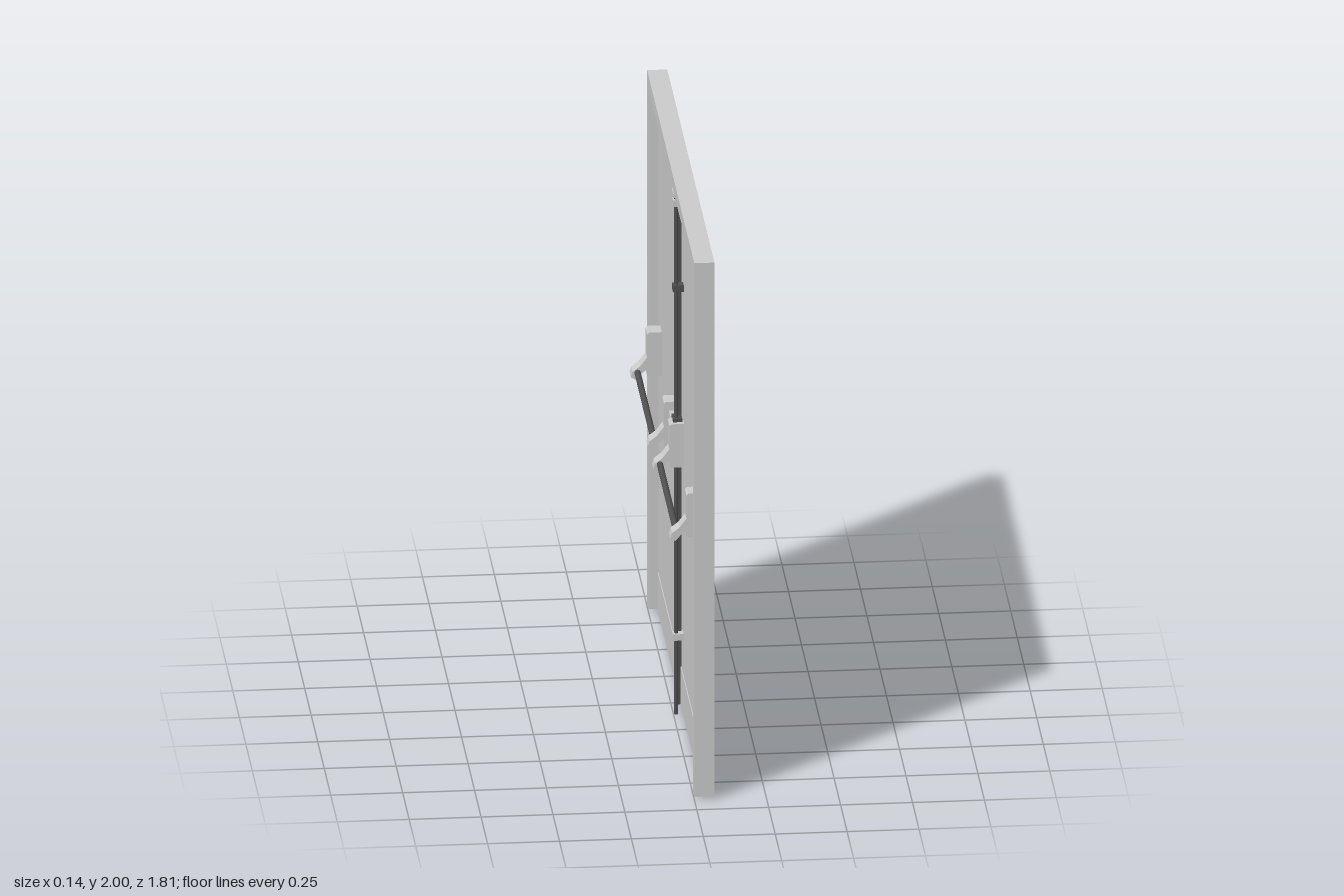
import * as THREE from 'three';

const grey = new THREE.MeshStandardMaterial({ color: 0xcccccc, side: THREE.DoubleSide });
const dark = new THREE.MeshStandardMaterial({ color: 0x505050 });

function add(parent, name, geometry, material = grey) {
  const mesh = new THREE.Mesh(geometry, material);
  mesh.name = name;
  parent.add(mesh);
  return mesh;
}

// Box given by its lower and upper limits on each axis
function block(parent, name, [x0, x1], [y0, y1], [z0, z1], material) {
  const geometry = new THREE.BoxGeometry(x1 - x0, y1 - y0, z1 - z0);
  geometry.translate((x0 + x1) / 2, (y0 + y1) / 2, (z0 + z1) / 2);
  return add(parent, name, geometry, material);
}

// Profile in x/y extruded along z, centred on z = 0
function profile(points, width) {
  const shape = new THREE.Shape(points.map(([x, y]) => new THREE.Vector2(x, y)));
  const geometry = new THREE.ExtrudeGeometry(shape, { depth: width, bevelEnabled: false });
  return geometry.translate(0, 0, -width / 2);
}

// Housing with the sloping lever that carries the push bar
function barEnd(z) {
  const group = new THREE.Group();
  group.name = 'pushBarEnd';
  add(group, 'housing', profile(
    [[0.035, 0.93], [-0.016, 0.93], [-0.016, 1.085], [-0.01, 1.092], [0.035, 1.092]], 0.064));
  add(group, 'lever', profile(
    [[-0.014, 1.0], [-0.014, 0.955], [-0.032, 0.94], [-0.055, 0.915], [-0.072, 0.925], [-0.066, 0.945], [-0.04, 0.965]], 0.053));
  group.position.z = z;
  return group;
}

export function createModel() {
  const model = new THREE.Group();
  model.name = 'doubleDoor';

  // Frame: two posts and a head
  const frame = new THREE.Group();
  frame.name = 'frame';
  model.add(frame);
  for (const s of [-1, 1]) {
    block(frame, 'post', [0, 0.07], [0.01, 1.95], [s * 0.88 - 0.025, s * 0.88 + 0.025]);
  }
  block(frame, 'head', [0, 0.07], [1.95, 2], [-0.905, 0.905]);

  // Leaves, flush with the frame on the plain side
  for (const s of [-1, 1]) {
    const z = s * 0.4315;
    block(model, 'leaf', [0.035, 0.07], [0.01, 1.95], [z - 0.4235, z + 0.4235]);
  }
  block(model, 'kickPlate', [0.032, 0.035], [0.004, 0.145], [-0.89, 0.908]);

  // Dark seal in the gap with its cover strip
  block(model, 'gapSeal', [0.034, 0.066], [0.004, 1.95], [-0.008, 0.008], dark);
  block(model, 'coverStrip', [0.02, 0.036], [0.004, 1.95], [-0.015, 0.024], dark);
  block(model, 'latchStrike', [0.005, 0.022], [1.02, 1.07], [-0.025, 0.01], dark);
  block(model, 'latch', [0.0, 0.035], [1.03, 1.06], [-0.08, -0.02]);

  // Push bars, one for each leaf
  for (const [a, b] of [[-0.76, -0.11], [0.1, 0.75]]) {
    const set = new THREE.Group();
    set.name = 'pushBarSet';
    model.add(set);
    set.add(barEnd(a), barEnd(b));
    const bar = add(set, 'pushBar', new THREE.CylinderGeometry(0.011, 0.011, b - a + 0.04, 20), dark);
    bar.rotation.x = Math.PI / 2;
    bar.position.set(-0.049, 0.942, (a + b) / 2);
  }

  // Vertical bolt rod with guides
  const bolt = new THREE.Group();
  bolt.name = 'boltRod';
  bolt.position.z = 0.1;
  model.add(bolt);
  const rod = add(bolt, 'rod', new THREE.CylinderGeometry(0.007, 0.007, 1.94, 12), dark);
  rod.position.set(0.01, 0.97, 0);
  for (const y of [0.29, 1.59]) {
    block(bolt, 'guide', [-0.003, 0.035], [y - 0.012, y + 0.012], [-0.016, 0.016], y > 1 ? dark : grey);
  }
  block(bolt, 'rodCollar', [-0.002, 0.03], [1.085, 1.105], [-0.014, 0.014], dark);
  block(bolt, 'topGuide', [-0.003, 0.035], [1.895, 1.92], [-0.016, 0.016]);
  block(bolt, 'topStrike', [-0.003, 0.035], [1.935, 1.95], [-0.03, 0.03]);
  block(bolt, 'bottomTip', [0.004, 0.016], [0, 0.03], [-0.006, 0.006], dark);

  return model;
}
